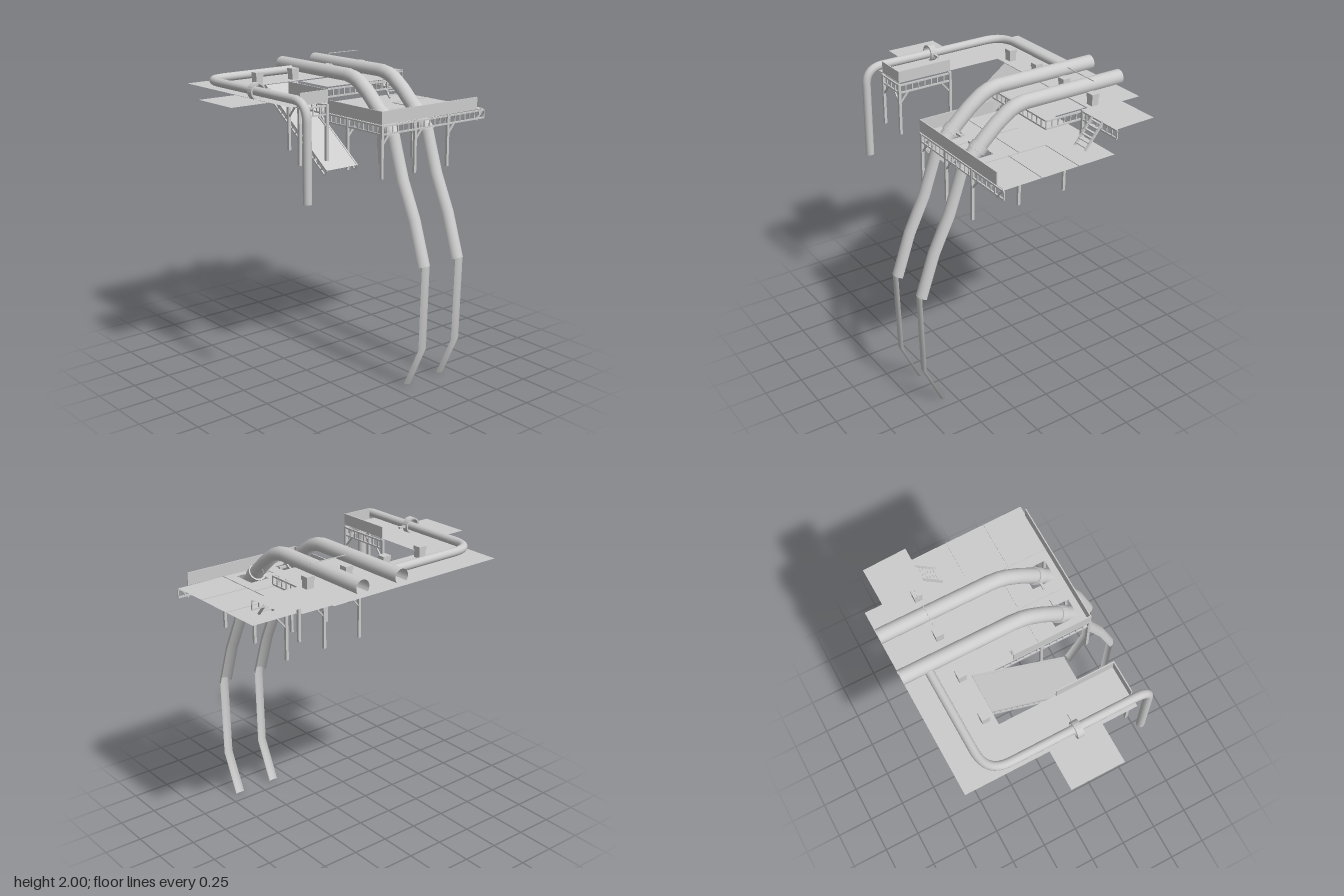
import * as THREE from 'three';

const grey = new THREE.MeshStandardMaterial({ color: 0xcccccc, side: THREE.DoubleSide });
const V = (x, y, z) => new THREE.Vector3(x, y, z);

export function createModel() {
  const model = new THREE.Group();

  const add = (name, geometry, parent = model) => {
    const mesh = new THREE.Mesh(geometry, grey);
    mesh.name = name;
    parent.add(mesh);
    return mesh;
  };
  const group = (name) => {
    const g = new THREE.Group();
    g.name = name;
    model.add(g);
    return g;
  };
  const box = (name, x0, x1, y0, y1, z0, z1, parent) =>
    add(name, new THREE.BoxGeometry(x1 - x0, y1 - y0, z1 - z0), parent)
      .position.set((x0 + x1) / 2, (y0 + y1) / 2, (z0 + z1) / 2);

  // Square bar between two points
  const bar = (name, a, b, t, parent) => {
    const mesh = add(name, new THREE.BoxGeometry(t, t, a.distanceTo(b)), parent);
    mesh.position.copy(a).lerp(b, 0.5);
    mesh.lookAt(b);
  };

  // Thin horizontal sheet from [x, z] corners, with rectangular holes
  const sheet = (name, y, corners, holes = []) => {
    const shape = new THREE.Shape(corners.map(([x, z]) => new THREE.Vector2(x, z)));
    for (const [x0, x1, z0, z1] of holes) {
      shape.holes.push(new THREE.Path([[x0, z0], [x0, z1], [x1, z1], [x1, z0]]
        .map(([x, z]) => new THREE.Vector2(x, z))));
    }
    add(name, new THREE.ShapeGeometry(shape).rotateX(Math.PI / 2)).position.y = y;
  };

  // Ladder-like truss hanging below the line a-b
  const truss = (name, a, b, drop = V(0, -0.05, 0)) => {
    const g = group(name);
    bar('topChord', a, b, 0.01, g);
    bar('bottomChord', a.clone().add(drop), b.clone().add(drop), 0.01, g);
    const n = Math.max(2, Math.round(a.distanceTo(b) / 0.045));
    for (let i = 0; i <= n; i++) {
      const p = a.clone().lerp(b, i / n);
      bar('web', p, p.clone().add(drop), 0.007, g);
    }
  };
  const leg = (x, z, top, bottom) => {
    box('leg', x - 0.009, x + 0.009, bottom, top, z - 0.009, z + 0.009);
  };
  const brace = (x, z, y, dx, dz) =>
    bar('brace', V(x, y - 0.13, z), V(x + dx, y - 0.06, z + dz), 0.009);

  // Upper deck: back strip, left wing, walkway and side landings
  const upper = 1.855;
  sheet('upperDeck', upper, [[-0.64, -0.72], [0.61, -0.735], [0.61, -0.37],
    [-0.365, -0.365], [-0.365, 0.375], [-0.64, 0.375]]);
  sheet('walkway', 1.848, [[0, -0.37], [0.55, -0.37], [0.55, -0.08], [0, -0.08]]);
  sheet('leftLanding', 1.85, [[-0.89, -0.19], [-0.63, -0.19], [-0.63, 0.15], [-0.89, 0.15]]);
  sheet('rightLanding', 1.842, [[0.56, -0.62], [0.87, -0.625], [0.88, -0.34], [0.55, -0.34]]);

  truss('wingFrontTruss', V(-0.57, 1.835, 0.37), V(-0.37, 1.835, 0.37));
  truss('wingSideTruss', V(-0.37, 1.835, 0.37), V(-0.37, 1.835, 0));
  truss('walkwayFrontTruss', V(0, 1.832, -0.085), V(0.55, 1.832, -0.085));
  truss('walkwaySideTruss', V(0.55, 1.832, -0.085), V(0.55, 1.832, -0.35));
  truss('landingTruss', V(0.55, 1.832, -0.345), V(0.88, 1.832, -0.345));

  for (const [x, z] of [[-0.57, 0.37], [-0.37, 0.37], [-0.37, 0], [0.56, -0.345]]) {
    leg(x, z, 1.845, 1.505);
  }
  brace(-0.37, 0.37, 1.84, -0.06, 0);
  brace(-0.57, 0.37, 1.84, 0.06, 0);
  brace(-0.37, 0.37, 1.84, 0, -0.06);
  brace(-0.37, 0, 1.84, 0, 0.06);
  brace(0.56, -0.345, 1.84, 0.06, 0);

  // Parapet panels
  box('wingFrontPanel', -0.57, -0.365, 1.857, 1.93, 0.368, 0.375);
  box('wingSidePanel', -0.37, -0.363, 1.857, 1.93, 0, 0.375);
  box('lowerFrontPanel', 0, 0.815, 1.684, 1.765, 0.436, 0.443);
  box('lowerSidePanel', -0.002, 0.005, 1.684, 1.765, -0.08, 0.443);

  // Lower deck with openings for the two chutes
  sheet('lowerDeck', 1.682, [[0, -0.37], [0.55, -0.37], [0.55, -0.34], [0.875, -0.34],
    [0.885, 0.435], [0, 0.45]], [[0.07, 0.19, 0.24, 0.395], [0.35, 0.485, 0.24, 0.395]]);
  truss('lowerFrontTruss', V(0, 1.672, 0.438), V(0.885, 1.672, 0.438));
  truss('lowerSideTruss', V(0.005, 1.672, 0.438), V(0.005, 1.672, -0.23));
  for (const x of [0.005, 0.278, 0.56]) {
    for (const z of [0.435, 0.11, -0.22]) {
      leg(x, z, 1.68, 1.345);
      brace(x, z, 1.68, 0.06, 0);
    }
  }
  brace(0.815, 0.438, 1.74, 0.06, 0);

  // Raised seams between the lower deck panels
  for (const [x0, x1, z] of [[0.55, 0.88, -0.08], [0.55, 0.88, 0.18], [0, 0.55, 0.105]]) {
    box('deckSeam', x0, x1, 1.682, 1.686, z - 0.003, z + 0.003);
  }
  for (const x of [0.275, 0.555]) box('deckSeam', x - 0.003, x + 0.003, 1.682, 1.686, -0.08, 0.44);

  // Sloping ramp with trussed edges
  const rampTop = V(0, 1.85, -0.365), rampEnd = V(0, 1.405, 0.252);
  const slope = rampEnd.clone().sub(rampTop);
  const ramp = add('ramp', new THREE.BoxGeometry(0.25, 0.004, slope.length()));
  ramp.position.copy(rampTop).lerp(rampEnd, 0.5).setX(-0.155);
  ramp.rotation.x = Math.atan2(-slope.y, slope.z);
  for (const x of [-0.275, -0.035]) {
    truss('rampTruss', rampTop.clone().setX(x), rampEnd.clone().setX(x), V(0, -0.03, -0.022));
  }

  // Short stair between landing and lower deck
  const stair = group('stair');
  for (const x of [0.655, 0.75]) bar('stringer', V(x, 1.838, -0.345), V(x, 1.685, -0.22), 0.012, stair);
  for (let i = 0; i < 6; i++) {
    const y = 1.82 - i * 0.024, z = -0.335 + i * 0.021;
    box('tread', 0.655, 0.75, y, y + 0.005, z - 0.008, z + 0.008, stair);
  }

  // Vent boxes and the overhead wire
  for (const x of [-0.3, -0.015, 0.27, 0.55]) {
    box('vent', x - 0.025, x + 0.025, 1.857, 1.925, -0.447, -0.4);
    box('ventCap', x - 0.028, x + 0.028, 1.905, 1.93, -0.45, -0.397);
  }
  box('wire', 0.285, 0.54, 1.996, 2.0, -0.436, -0.432);

  // Open channel swept along an outer edge line of [z, y] points
  const channel = (name, x, line, r, arc) => {
    const sides = 16, pos = [], index = [];
    line.forEach(([z, y], i) => {
      const [z0, y0] = line[Math.max(i - 1, 0)];
      const [z1, y1] = line[Math.min(i + 1, line.length - 1)];
      const len = Math.hypot(z1 - z0, y1 - y0);
      const nz = -(y1 - y0) / len, ny = (z1 - z0) / len;
      for (let j = 0; j <= sides; j++) {
        const a = THREE.MathUtils.degToRad(arc) * (2 * j / sides - 1);
        const d = r * (Math.cos(a) - 1);
        pos.push(x + r * Math.sin(a), y + ny * d, z + nz * d);
        if (i && j) {
          const k = i * (sides + 1) + j, p = k - sides - 1;
          index.push(p - 1, k - 1, p, p, k - 1, k);
        }
      }
    });
    const g = new THREE.BufferGeometry();
    g.setAttribute('position', new THREE.Float32BufferAttribute(pos, 3));
    g.setIndex(index);
    g.computeVertexNormals();
    add(name, g);
  };

  // Clamp ring around a pipe, with a side arm
  const collar = (center, axis, r, width, arm) => {
    const w = width / 2, i = r * 0.8;
    const ring = add('collar', new THREE.LatheGeometry(
      [[i, -w], [r, -w], [r, w], [i, w], [i, -w]].map(([a, b]) => new THREE.Vector2(a, b)), 20).toNonIndexed());
    ring.geometry.computeVertexNormals();
    ring.position.copy(center);
    ring.quaternion.setFromUnitVectors(V(0, 1, 0), axis.normalize());
    bar('collarArm', center.clone().add(V(Math.sign(arm) * r * 0.9, 0, 0)), center.clone().add(V(arm, 0, 0)), 0.014);
  };

  // Two large chutes: pipe, half pipe, shallow strip
  const upperLine = [[-0.735, 1.962], [-0.02, 1.962], [0.05, 1.95], [0.11, 1.925], [0.2, 1.862],
    [0.28, 1.79], [0.35, 1.724], [0.445, 1.618]];
  const middleLine = [[0.435, 1.63], [0.467, 1.53], [0.53, 1.345], [0.64, 1.115], [0.735, 0.835]];
  const lowerLine = [[0.733, 0.84], [0.717, 0.28], [0.588, 0.005]];
  for (const [x, arm] of [[0.125, 0.105], [0.41, -0.1]]) {
    channel('upperChute', x, upperLine, 0.047, 130);
    channel('middleChute', x, middleLine, 0.044, 90);
    channel('lowerChute', x, lowerLine, 0.044, 48);
    collar(V(x, 1.707, 0.295), V(0, -0.7, 0.72), 0.056, 0.045, arm);
  }

  // Slim pipe running round the left wing
  const path = new THREE.CurvePath();
  const py = 1.895, px = -0.6;
  path.add(new THREE.LineCurve3(V(0.09, py, -0.572), V(-0.45, py, -0.565)));
  path.add(new THREE.CubicBezierCurve3(V(-0.45, py, -0.565), V(-0.55, py, -0.56), V(px, py, -0.52), V(px, py, -0.41)));
  path.add(new THREE.LineCurve3(V(px, py, -0.41), V(px, py, 0.36)));
  path.add(new THREE.CubicBezierCurve3(V(px, py, 0.36), V(px, py, 0.43), V(px, 1.86, 0.478), V(px, 1.78, 0.478)));
  path.add(new THREE.LineCurve3(V(px, 1.78, 0.478), V(px, 1.3, 0.478)));
  add('slimPipe', new THREE.TubeGeometry(path, 120, 0.027, 16));
  collar(V(-0.608, 1.897, 0), V(0, 0, 1), 0.053, 0.042, 0.1);

  return model;
}
